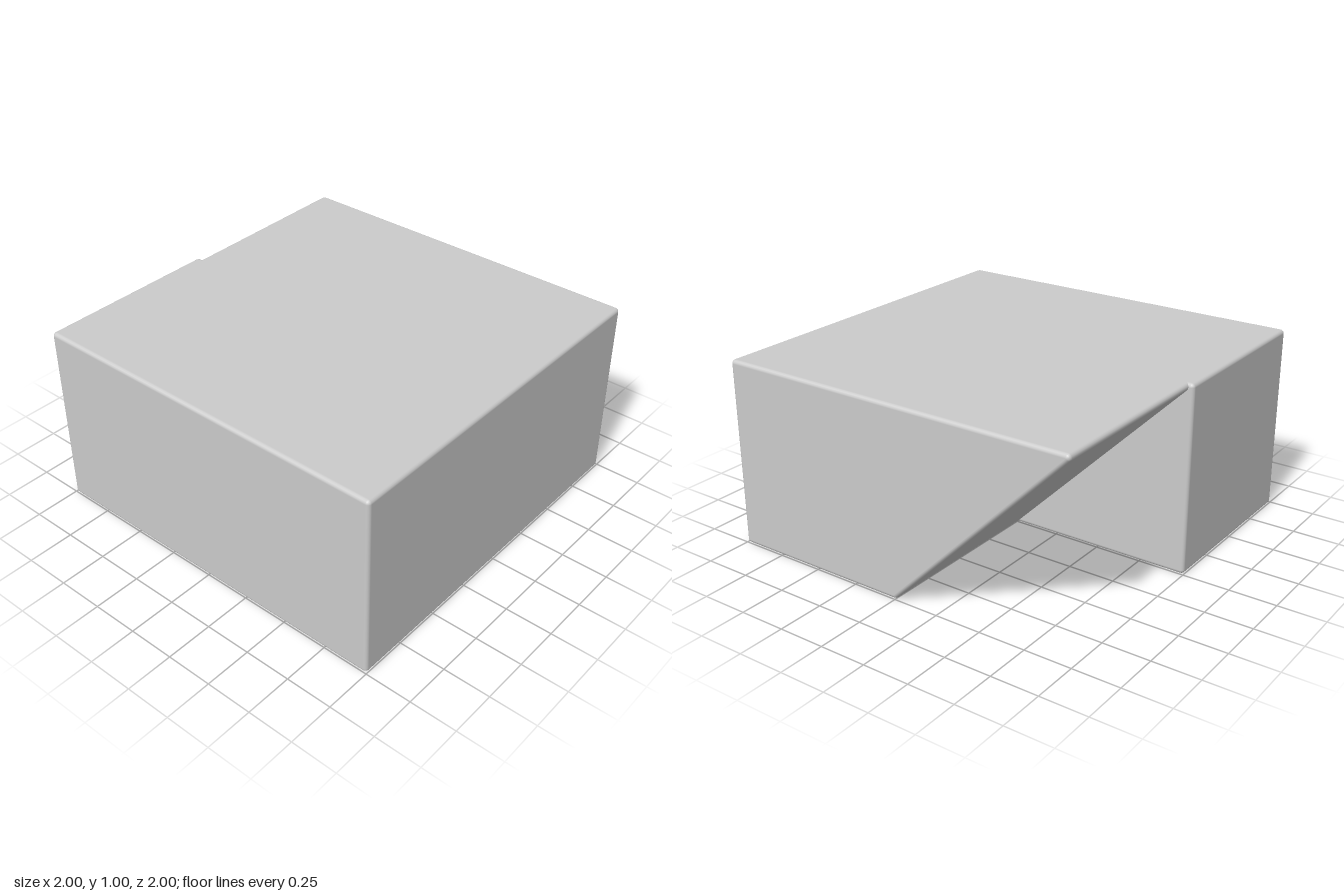
import * as THREE from 'three';
import { ConvexGeometry } from 'three/addons/geometries/ConvexGeometry.js';

const R = 0.02; // edge rounding radius

// Unit directions on a sphere with its poles on the x axis
function sphereDirections() {
  const dirs = [new THREE.Vector3(1, 0, 0), new THREE.Vector3(-1, 0, 0)];
  for (let i = 1; i < 8; i++) {
    const a = (i * Math.PI) / 8;
    for (let j = 0; j < 16; j++) {
      const b = (j * Math.PI) / 8;
      dirs.push(new THREE.Vector3(Math.cos(a), Math.sin(a) * Math.cos(b), Math.sin(a) * Math.sin(b)));
    }
  }
  return dirs;
}

// Rounded prism along x: the hull of small spheres at the inset corners of a [z, y] profile
function roundedPrism(name, profile, x0, x1, material) {
  const centers = [];
  for (const x of [x0 + R, x1 - R]) {
    for (const [z, y] of profile) centers.push(new THREE.Vector3(x, y, z));
  }
  const dirs = sphereDirections();
  const points = centers.flatMap((c) => dirs.map((d) => c.clone().addScaledVector(d, R)));
  const geometry = new ConvexGeometry(points);

  // Smooth normals point away from the nearest corner sphere
  const pos = geometry.attributes.position;
  const normal = geometry.attributes.normal;
  const v = new THREE.Vector3();
  for (let i = 0; i < pos.count; i++) {
    v.fromBufferAttribute(pos, i);
    const near = centers.reduce((a, b) => (v.distanceToSquared(b) < v.distanceToSquared(a) ? b : a));
    v.sub(near).normalize();
    normal.setXYZ(i, v.x, v.y, v.z);
  }
  const mesh = new THREE.Mesh(geometry, material);
  mesh.name = name;
  return mesh;
}

export function createModel() {
  const group = new THREE.Group();
  group.name = 'halfSlopedBlock';
  const material = new THREE.MeshStandardMaterial({ color: 0xcccccc });
  const lo = R, hi = 1 - R;

  // Full-depth square half
  const square = [[hi, lo], [hi, hi], [-hi, hi], [-hi, lo]];
  group.add(roundedPrism('squareHalf', square, -1, 0, material));

  // Half whose back slopes inward to the middle of the base; its inner end is sunk into the square half
  const s = R * Math.SQRT2;
  const sloped = [[hi, lo], [hi, hi], [s - hi, hi], [s - lo, lo]];
  group.add(roundedPrism('slopedHalf', sloped, -0.06, 1, material));

  return group;
}
